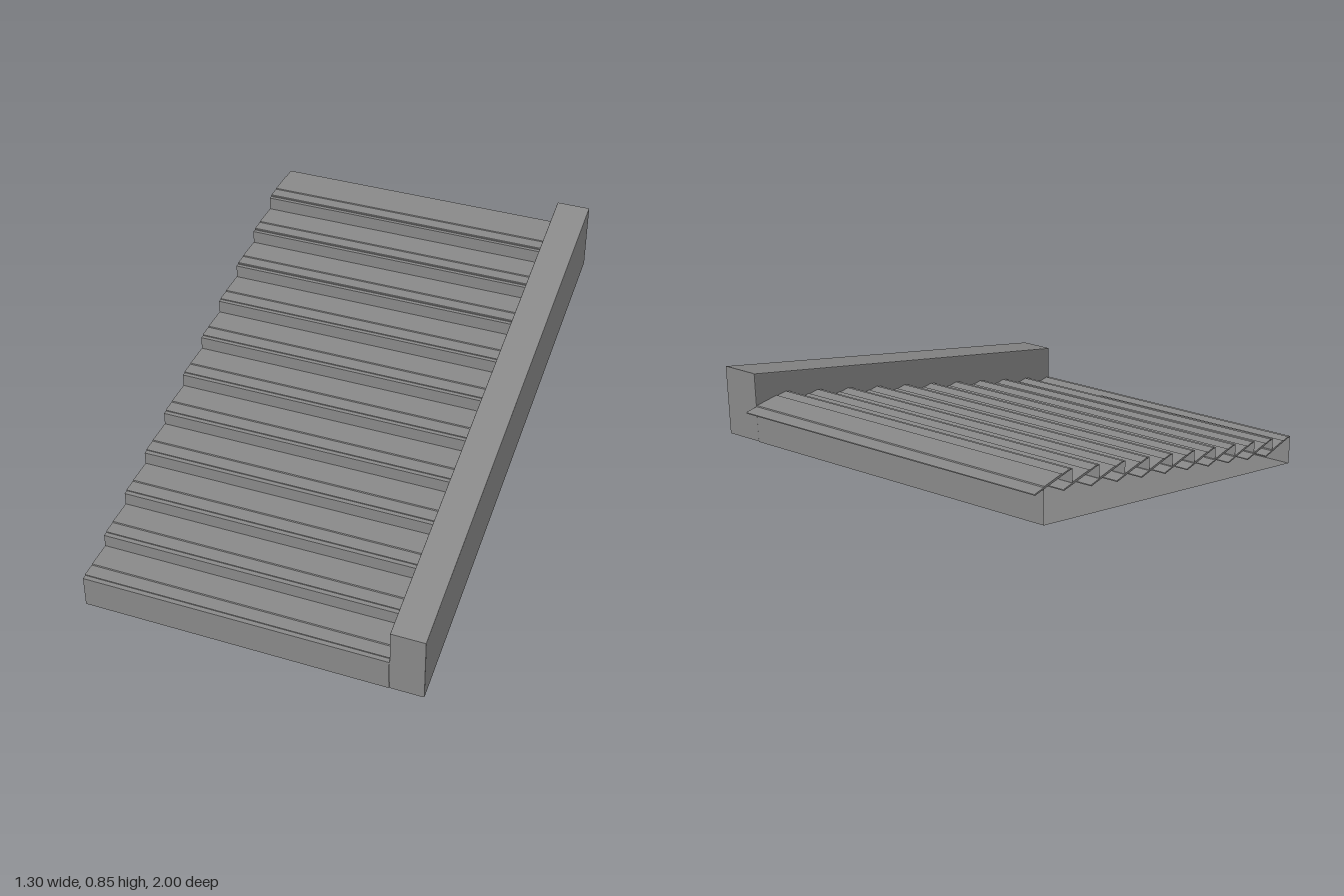
import * as THREE from 'three';

const STEPS = 11, RUN = 0.177, RISE = 0.059;
const X0 = -0.65, X1 = 0.52, RAIL_X = 0.65;
const BACK = 1 - STEPS * RUN, BACK_Y = 0.586;

// Extrudes a [z, y] outline along x from xa to xb, with edges bevelled inwards
function extrudeX(points, xa, xb, bevel, material) {
  const shape = new THREE.Shape(points.map(([z, y]) => new THREE.Vector2(-z, y)));
  const geo = new THREE.ExtrudeGeometry(shape, {
    depth: xb - xa - 2 * bevel, bevelEnabled: bevel > 0, bevelSize: bevel,
    bevelThickness: bevel, bevelOffset: -bevel, bevelSegments: 2,
  });
  geo.rotateY(Math.PI / 2);
  geo.translate(xa + bevel, 0, 0);
  return new THREE.Mesh(geo, material);
}

// Sweeps a closed [z, y] outline along x, leaving the ends open
function openShell(points, xa, xb, material) {
  const pos = [];
  points.forEach(([z, y], i) => {
    const [z2, y2] = points[(i + 1) % points.length];
    pos.push(xa, y, z, xb, y, z, xb, y2, z2, xa, y, z, xb, y2, z2, xa, y2, z2);
  });
  const geo = new THREE.BufferGeometry();
  geo.setAttribute('position', new THREE.Float32BufferAttribute(pos, 3));
  geo.computeVertexNormals();
  return new THREE.Mesh(geo, material);
}

export function createModel() {
  const group = new THREE.Group();
  const grey = new THREE.MeshStandardMaterial({ color: 0x888888, flatShading: true });
  const shellGrey = grey.clone();
  shellGrey.side = THREE.DoubleSide;

  // Risers, back wall and sloping underside, open at the right-hand end
  const outline = [[1, 0]];
  for (let i = 0; i < STEPS; i++) {
    const y = 0.125 + i * RISE;
    outline.push([1 - i * RUN, y], [1 - (i + 1) * RUN, y]);
  }
  outline.push([BACK, BACK_Y]);
  const body = openShell(outline, X0, X1, shellGrey);
  body.name = 'stairBody';
  group.add(body);

  // Thin treads with chamfered edges and a raised middle, running under the next riser
  for (let i = 0; i < STEPS; i++) {
    const z = 0.982 - i * 0.1766, y = 0.125 + i * RISE;
    const tread = extrudeX([
      [z, y], [z, y + 0.004], [z - 0.003, y + 0.006],
      [z - 0.051, y + 0.006], [z - 0.054, y + 0.009],
      [z - 0.160, y + 0.009], [z - 0.163, y + 0.006],
      [z - 0.213, y + 0.006], [z - 0.216, y + 0.004], [z - 0.216, y],
    ], X0, X1, 0, grey);
    tread.name = 'tread' + (i + 1);
    group.add(tread);
  }

  // Solid sloping side wall with softened edges
  const rail = extrudeX(
    [[1, 0.002], [BACK, BACK_Y + 0.002], [BACK, 0.845], [1, 0.262]], X1, RAIL_X, 0.004, grey);
  rail.name = 'sideWall';
  group.add(rail);
  return group;
}
